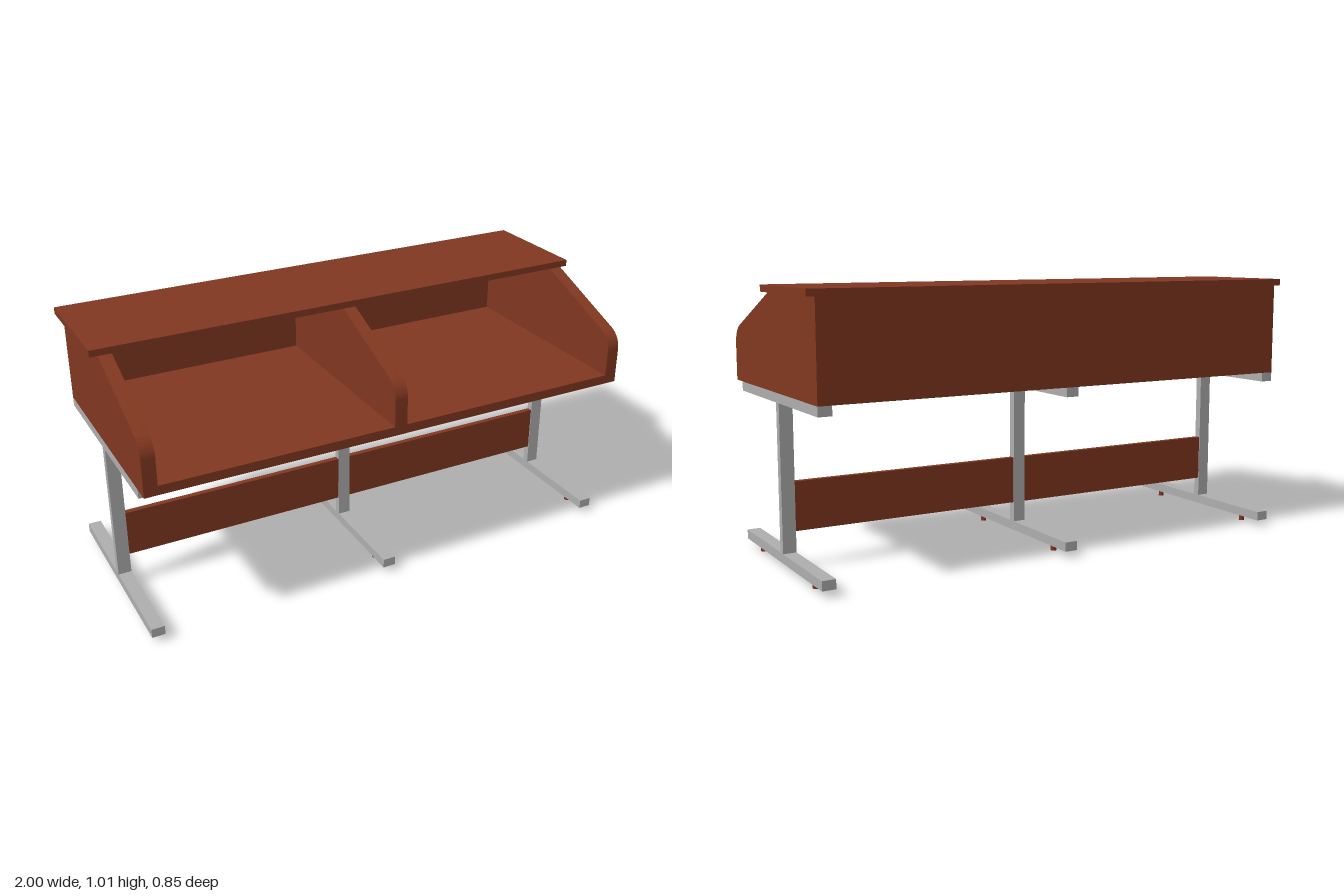
import * as THREE from 'three';
import { toCreasedNormals } from 'three/addons/utils/BufferGeometryUtils.js';

export function createModel() {
  const model = new THREE.Group();
  model.name = 'doubleStudyDesk';

  const wood = new THREE.MeshStandardMaterial({ color: 0x823820 });
  wood.name = 'brown wood';
  const metal = new THREE.MeshStandardMaterial({ color: 0xb0b0b0 });
  metal.name = 'grey metal';

  const add = (name, geometry, material, parent = model) => {
    const mesh = new THREE.Mesh(geometry, material);
    mesh.name = name;
    parent.add(mesh);
    return mesh;
  };
  // Box given by its extents on each axis
  const box = (name, [x0, x1], [y0, y1], [z0, z1], material, parent) =>
    add(name, new THREE.BoxGeometry(x1 - x0, y1 - y0, z1 - z0), material, parent)
      .position.set((x0 + x1) / 2, (y0 + y1) / 2, (z0 + z1) / 2);

  const back = -0.425, front = 0.425, bottom = 0.635, top = 0.985;
  const width = 0.05;
  const centres = [-0.945, -0.005, 0.945];

  // Upright panel outline: sloped top edge with a rounded front corner
  const outline = new THREE.Shape();
  outline.moveTo(back, bottom);
  outline.lineTo(front, bottom);
  outline.lineTo(front, 0.773);
  outline.absarc(0.346, 0.773, 0.079, 0, 1.196, false);
  outline.lineTo(0.025, top);
  outline.lineTo(back, top);
  outline.closePath();
  const panel = toCreasedNormals(
    new THREE.ExtrudeGeometry(outline, { depth: width, bevelEnabled: false, curveSegments: 10 })
      .translate(0, 0, -width / 2).rotateY(-Math.PI / 2), 0.3);

  const peg = new THREE.CylinderGeometry(0.011, 0.011, 0.025, 12);

  // Three uprights, each on a metal frame
  centres.forEach((x, i) => {
    add(i === 1 ? 'divider' : 'sidePanel', panel, wood).position.x = x;

    const leg = new THREE.Group();
    leg.name = 'legFrame';
    leg.position.x = x;
    model.add(leg);
    const w = [-width / 2, width / 2];
    box('topRail', w, [0.6, bottom], [back, 0.36], metal, leg);
    box('post', w, [0.06, 0.6], [-0.049, -0.021], metal, leg);
    box('footRail', w, [0.025, 0.06], [back, 0.36], metal, leg);
    for (const z of [0.243, -0.302]) add('footPeg', peg, wood, leg).position.set(0, 0.0125, z);
  });

  // Floor, back and low brace between neighbouring uprights
  for (let i = 0; i < 2; i++) {
    const span = [centres[i] + width / 2, centres[i + 1] - width / 2];
    box('deskFloor', span, [bottom, 0.67], [back, front], wood);
    box('backPanel', span, [0.67, top], [back, back + 0.02], wood);
    box('lowerBrace', span, [0.137, 0.317], [-0.046, -0.024], wood);
  }

  // Overhanging top shelf
  box('topShelf', [-1, 1], [top, 1.01], [back, 0.025], wood);

  return model;
}
